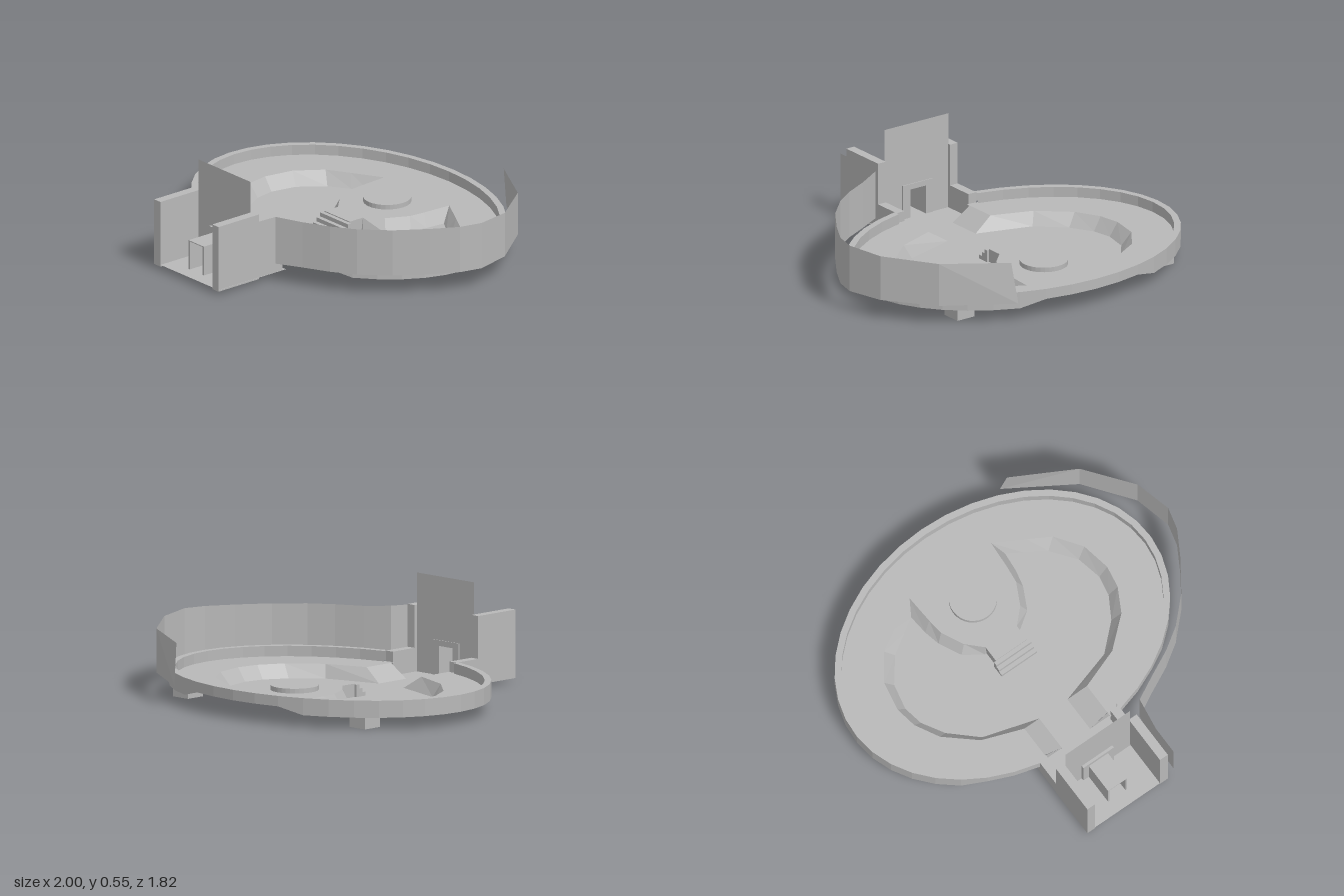
import * as THREE from 'three';

const CX = -0.06; // mirror line of the arena
const CZ = -0.2;  // centre of the oval
const FLOOR = 0.1, PIT = 0.03, RIM = 0.155;

export function createModel() {
  const group = new THREE.Group();
  const grey = new THREE.MeshStandardMaterial({ color: 0xb8b8b8, side: THREE.DoubleSide, flatShading: true });
  grey.name = 'stone grey';

  const add = (name, geometry) => {
    const mesh = new THREE.Mesh(geometry, grey);
    mesh.name = name;
    group.add(mesh);
    return mesh;
  };
  const box = (name, x0, x1, y0, y1, z0, z1) => {
    const g = new THREE.BoxGeometry(x1 - x0, y1 - y0, z1 - z0);
    g.translate((x0 + x1) / 2, (y0 + y1) / 2, (z0 + z1) / 2);
    return add(name, g);
  };
  // Surface through rows of [x, y, z] points
  const loft = (name, rows) => {
    const n = rows[0].length, index = [];
    for (let r = 0; r < rows.length - 1; r++) {
      for (let i = 0; i < n - 1; i++) {
        const a = r * n + i, b = a + n;
        index.push(a, b, a + 1, a + 1, b, b + 1);
      }
    }
    const g = new THREE.BufferGeometry();
    g.setAttribute('position', new THREE.Float32BufferAttribute(rows.flat(2), 3));
    g.setIndex(index);
    g.computeVertexNormals();
    return add(name, g);
  };
  // Flat horizontal sheet from a closed [x, z] outline
  const sheet = (name, outline, y) => {
    const g = new THREE.ShapeGeometry(new THREE.Shape(outline.map(([x, z]) => new THREE.Vector2(x, z))));
    g.rotateX(Math.PI / 2);
    g.translate(0, y, 0);
    return add(name, g);
  };
  // Half outline [u, z] mirrored about the arena's centre line
  const mirrored = (half) => [
    ...half.map(([u, z]) => [CX + u, z]),
    ...half.slice().reverse().map(([u, z]) => [CX - u, z]),
  ];
  const at = (outline, y) => outline.map(([x, z]) => [x, y, z]);

  // Oval outline, open towards the entrance at the front
  const oval = (rx, rz, gap) => {
    const start = Math.asin(gap / rx), points = [], n = 36;
    for (let i = 0; i <= n; i++) {
      const a = start + (i / n) * (2 * Math.PI - 2 * start);
      points.push([CX + rx * Math.sin(a), CZ + rz * Math.cos(a)]);
    }
    return points;
  };

  // Sunken ring: upper and lower edge of its sloping wall
  const pitTop = mirrored([
    [0.2, 0.45], [0.2, 0.27], [0.42, 0.19], [0.58, 0.05], [0.65, -0.08], [0.67, -0.2], [0.64, -0.36],
    [0.54, -0.5], [0.42, -0.57], [0.26, -0.66], [0.25, -0.5], [0.24, -0.41], [0.18, -0.29], [0.1, -0.21],
  ]);
  const pitBottom = mirrored([
    [0.09, 0.45], [0.09, 0.25], [0.39, 0.16], [0.53, 0.03], [0.6, -0.09], [0.62, -0.2], [0.59, -0.34],
    [0.49, -0.47], [0.38, -0.54], [0.3, -0.59], [0.29, -0.48], [0.27, -0.39], [0.21, -0.27], [0.11, -0.2],
  ]);
  loft('pitWall', [at(pitTop, FLOOR), at(pitBottom, PIT)]);
  sheet('pitFloor', pitBottom, PIT);

  // Raised floor around the ring, with its centre peninsula
  sheet('arenaFloor', [...oval(0.92, 0.695, 0.2), ...pitTop.slice().reverse()], FLOOR);

  // Oval rim with a deeper skirt at both sides
  const outer = oval(0.94, 0.715, 0.255), inner = oval(0.905, 0.68, 0.255);
  const skirt = outer.map(([x, z]) => {
    const u = Math.abs(x - CX);
    return [x, u < (z > 0 ? 0.58 : 0.36) ? FLOOR : 0.065, z];
  });
  loft('rim', [skirt, at(outer, RIM), at(inner, RIM), at(inner, FLOOR)]);

  // Round platform
  const disc = new THREE.CylinderGeometry(0.125, 0.125, 0.025, 32);
  disc.translate(CX, FLOOR + 0.0125, -0.46);
  add('platform', disc);

  // Landing and steps down into the ring
  box('landing', CX - 0.1, CX + 0.1, PIT, FLOOR, -0.215, -0.12);
  for (let i = 0; i < 3; i++) {
    box('step', CX - 0.112, CX + 0.112, PIT, FLOOR - 0.005 - i * 0.022, -0.12 + i * 0.023, -0.097 + i * 0.023);
  }

  // Entrance floor, its low side walls and tall cheeks
  sheet('entranceFloor', [[-0.315, 0.45], [0.2, 0.45], [0.2, 0.905], [-0.315, 0.905]], PIT);
  for (const s of [-1, 1]) {
    const a = CX + s * 0.207, b = CX + s * 0.257;
    const x0 = Math.min(a, b), x1 = Math.max(a, b);
    box('entranceLowWall', x0, x1, PIT, RIM, 0.47, 0.63);
    box('entranceCheek', x0, x1, 0.02, 0.38, 0.63, 0.905);
    // Face closing the ends of the ramp banks
    loft('bankEnd', [
      [[CX + s * 0.09, PIT, 0.45], [CX + s * 0.21, PIT, 0.45]],
      [[CX + s * 0.09, PIT, 0.45], [CX + s * 0.21, FLOOR, 0.45]],
    ]);
  }

  // Thin gate panel with a doorway
  const panel = new THREE.Shape([
    [-0.27, PIT], [-0.12, PIT], [-0.12, 0.185], [-0.02, 0.185],
    [-0.02, PIT], [0.145, PIT], [0.145, 0.55], [-0.27, 0.55],
  ].map(([x, y]) => new THREE.Vector2(x, y)));
  const gate = new THREE.ShapeGeometry(panel);
  gate.translate(0, 0, 0.645);
  add('gatePanel', gate);

  // Door frame and the covered passage in front of it
  box('doorPostRight', -0.165, -0.12, PIT, 0.215, 0.64, 0.66);
  box('doorPostLeft', -0.02, 0.03, PIT, 0.215, 0.64, 0.66);
  box('doorLintel', -0.12, -0.02, 0.185, 0.215, 0.64, 0.66);
  box('passageWallRight', -0.13, -0.12, PIT, 0.19, 0.66, 0.83);
  box('passageWallLeft', -0.02, -0.008, PIT, 0.19, 0.66, 0.83);
  box('passageRoof', -0.13, -0.008, 0.185, 0.19, 0.66, 0.83);

  // Tall curved screen along the left side
  const path = [
    [0.235, 0.905], [0.235, 0.75], [0.26, 0.57], [0.39, 0.5], [0.53, 0.43], [0.65, 0.35], [0.78, 0.22],
    [0.89, 0.06], [0.97, -0.08], [1, -0.2], [0.95, -0.4], [0.76, -0.65], [0.41, -0.87],
  ];
  const last = path.length - 1;
  const screenTop = path.map(([x, z], i) => {
    if (i === last) return [0.43, 0.33, -0.835];
    return [x, i === 2 ? 0.37 : z < -0.2 ? 0.36 + (z + 0.2) * 0.04 : 0.362, z];
  });
  loft('curvedScreen', [at(path, 0.11), screenTop]);

  // Support feet
  for (const s of [-1, 1]) {
    const x = CX + s * 0.645;
    box('foot', x - 0.055, x + 0.055, 0, 0.1, -0.65, -0.54);
  }

  return group;
}
